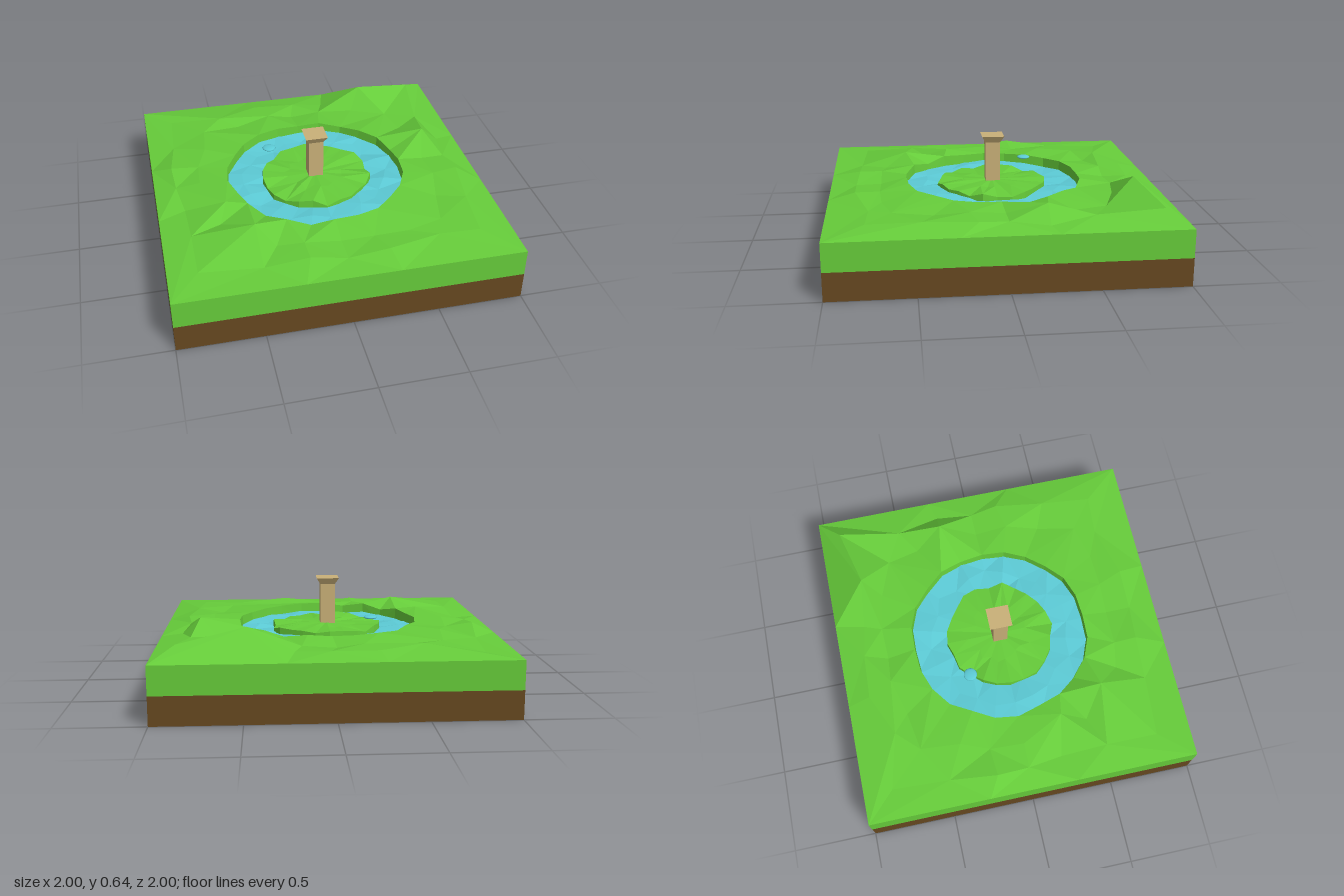
import * as THREE from 'three';

const SEG = 24;

// seeded random numbers in -1..1
function seeded(seed) {
  return () => {
    seed = (seed * 16807) % 2147483647;
    return (seed / 2147483647) * 2 - 1;
  };
}

// faceted surface through closed rings, listed from the inside outwards
function facetedRings(rings) {
  const pos = [];
  const tri = (a, b, c) => pos.push(...a, ...b, ...c);
  for (let k = 0; k + 1 < rings.length; k++) {
    for (let i = 0; i < SEG; i++) {
      const j = (i + 1) % SEG;
      const [a, b] = [rings[k], rings[k + 1]];
      if ((i + k) % 2) {
        tri(a[i], b[i], b[j]);
        tri(a[i], b[j], a[j]);
      } else {
        tri(a[i], b[i], a[j]);
        tri(a[j], b[i], b[j]);
      }
    }
  }
  const geo = new THREE.BufferGeometry();
  geo.setAttribute('position', new THREE.Float32BufferAttribute(pos, 3));
  geo.computeVertexNormals();
  return geo;
}

// one ring of points with wobbling radius and height
function ring(r, y, rand, dr = 0, dy = 0) {
  return Array.from({ length: SEG }, (_, i) => {
    const a = (i / SEG) * Math.PI * 2;
    const rr = r + rand() * dr;
    return [Math.sin(a) * rr, y + rand() * dy, Math.cos(a) * rr];
  });
}

// the square border of the tile
function border(y) {
  return ring(1, y, () => 0).map(([x, h, z]) => {
    const s = 1 / Math.max(Math.abs(x), Math.abs(z));
    return [x * s, h, z * s];
  });
}

// a ring part of the way from one ring to another
function between(a, b, t, y, rand) {
  return a.map((p, i) => [
    p[0] + (b[i][0] - p[0]) * t + rand() * 0.03,
    y + rand() * 0.02,
    p[2] + (b[i][2] - p[2]) * t + rand() * 0.03,
  ]);
}

export function createModel() {
  const group = new THREE.Group();
  const mat = (name, color) => {
    const m = new THREE.MeshStandardMaterial({ color });
    m.name = name;
    return m;
  };
  const grass = mat('grass', 0x66cc3a);
  const dirt = mat('dirt', 0x664820);
  const water = mat('water', 0x5ccbd6);
  const stone = mat('sandstone', 0xc9b078);
  const add = (name, geo, material, x = 0, y = 0, z = 0) => {
    const mesh = new THREE.Mesh(geo, material);
    mesh.name = name;
    mesh.position.set(x, y, z);
    group.add(mesh);
    return mesh;
  };

  // dirt base
  add('dirtBase', new THREE.BoxGeometry(2, 0.165, 2), dirt, 0, 0.0825, 0);

  // hilly ground from the outer bank to the sides of the tile
  const rand = seeded(4127);
  const bank = ring(0.545, 0.37, rand, 0.012, 0.015);
  const bankFoot = bank.map(([x, , z]) => [x * 0.985, 0.28, z * 0.985]);
  const edge = border(0.33);
  const nearHills = between(bank, edge, 0.36, 0.36, rand);
  const farHills = between(bank, edge, 0.68, 0.35, rand);
  const peaks = [
    [0.48, 0.485, -0.78], [0.77, 0.435, -0.23], [0.86, 0.41, -0.87],
    [-0.47, 0.42, 0.53], [-0.6, 0.4, 0.25], [-0.88, 0.38, -0.2],
    [0.87, 0.37, 0.16], [-0.5, 0.375, -0.75], [0.56, 0.35, 0.76],
  ];
  // pull the closest hill point onto each peak
  for (const p of peaks) {
    const dist = (q) => Math.hypot(q[0] - p[0], q[2] - p[2]);
    const q = [...nearHills, ...farHills].reduce((a, b) => (dist(b) < dist(a) ? b : a));
    [q[0], q[1], q[2]] = p;
  }
  add('ground', facetedRings([bankFoot, bank, nearHills, farHills, edge, border(0.165)]), grass);

  // island inside the moat
  const shore = ring(0.33, 0.348, rand, 0.015, 0.015);
  const shoreFoot = shore.map(([x, , z]) => [x * 1.01, 0.28, z * 1.01]);
  add('island', facetedRings([
    ring(0, 0.358, rand), ring(0.17, 0.355, rand, 0.03, 0.008), shore, shoreFoot,
  ]), grass);

  // ring of faceted water
  add('moatWater', facetedRings([
    ring(0.305, 0.318, rand, 0, 0.008),
    ring(0.435, 0.32, rand, 0.03, 0.014),
    ring(0.57, 0.322, rand, 0, 0.008),
  ]), water);

  // square pillar with a flared capital
  add('pillar', new THREE.BoxGeometry(0.09, 0.27, 0.09), stone, -0.003, 0.465, -0.003);
  const capital = new THREE.CylinderGeometry(0.068 * Math.SQRT2, 0.045 * Math.SQRT2, 0.04, 4, 1)
    .rotateY(Math.PI / 4).toNonIndexed();
  capital.computeVertexNormals();
  add('capital', capital, stone, -0.003, 0.62, -0.003);

  // small flattened drop hovering over the water
  const drop = new THREE.SphereGeometry(0.041, 16, 8).scale(1, 0.25, 1);
  add('waterDrop', drop, water, -0.25, 0.425, -0.235);

  return group;
}
